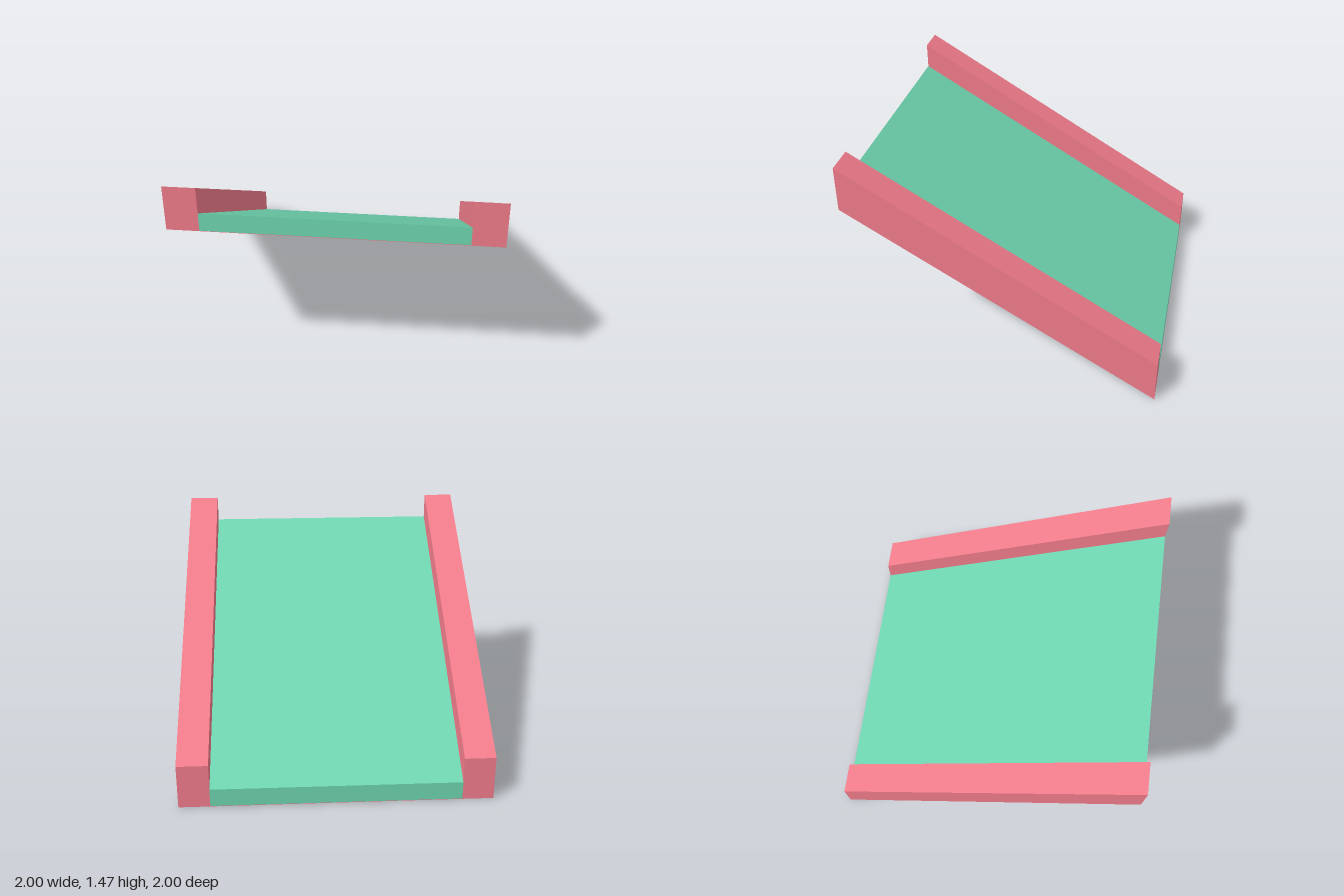
import * as THREE from 'three';

const RISE = 1.176;   // height gained from back to front
const RAIL_H = 0.294;
const DECK_H = 0.123;
const SKIN = 0.003;   // underside sheet joining the rails
const RAIL_IN = 0.8;

// Extrude a cross-section along z, then shear it up the slope.
function slopedExtrusion(name, points, color) {
  const shape = new THREE.Shape(points.map(([x, y]) => new THREE.Vector2(x, y)));
  const geometry = new THREE.ExtrudeGeometry(shape, { depth: 2, bevelEnabled: false });
  geometry.translate(0, 0, -1);
  const pos = geometry.attributes.position;
  for (let i = 0; i < pos.count; i++) {
    pos.setY(i, pos.getY(i) + RISE * (pos.getZ(i) + 1) / 2);
  }
  geometry.computeVertexNormals();
  const mesh = new THREE.Mesh(geometry, new THREE.MeshStandardMaterial({ color }));
  mesh.name = name;
  return mesh;
}

export function createModel() {
  const ramp = new THREE.Group();
  ramp.name = 'ramp';

  // Side rails and underside as one U-shaped channel
  ramp.add(slopedExtrusion('sideRails', [
    [-1, 0], [1, 0], [1, RAIL_H], [RAIL_IN, RAIL_H],
    [RAIL_IN, SKIN], [-RAIL_IN, SKIN], [-RAIL_IN, RAIL_H], [-1, RAIL_H],
  ], 0xf27d8c));

  // Deck lying between the rails
  ramp.add(slopedExtrusion('deck', [
    [-RAIL_IN, SKIN], [RAIL_IN, SKIN], [RAIL_IN, DECK_H], [-RAIL_IN, DECK_H],
  ], 0x6fd6b1));

  return ramp;
}
